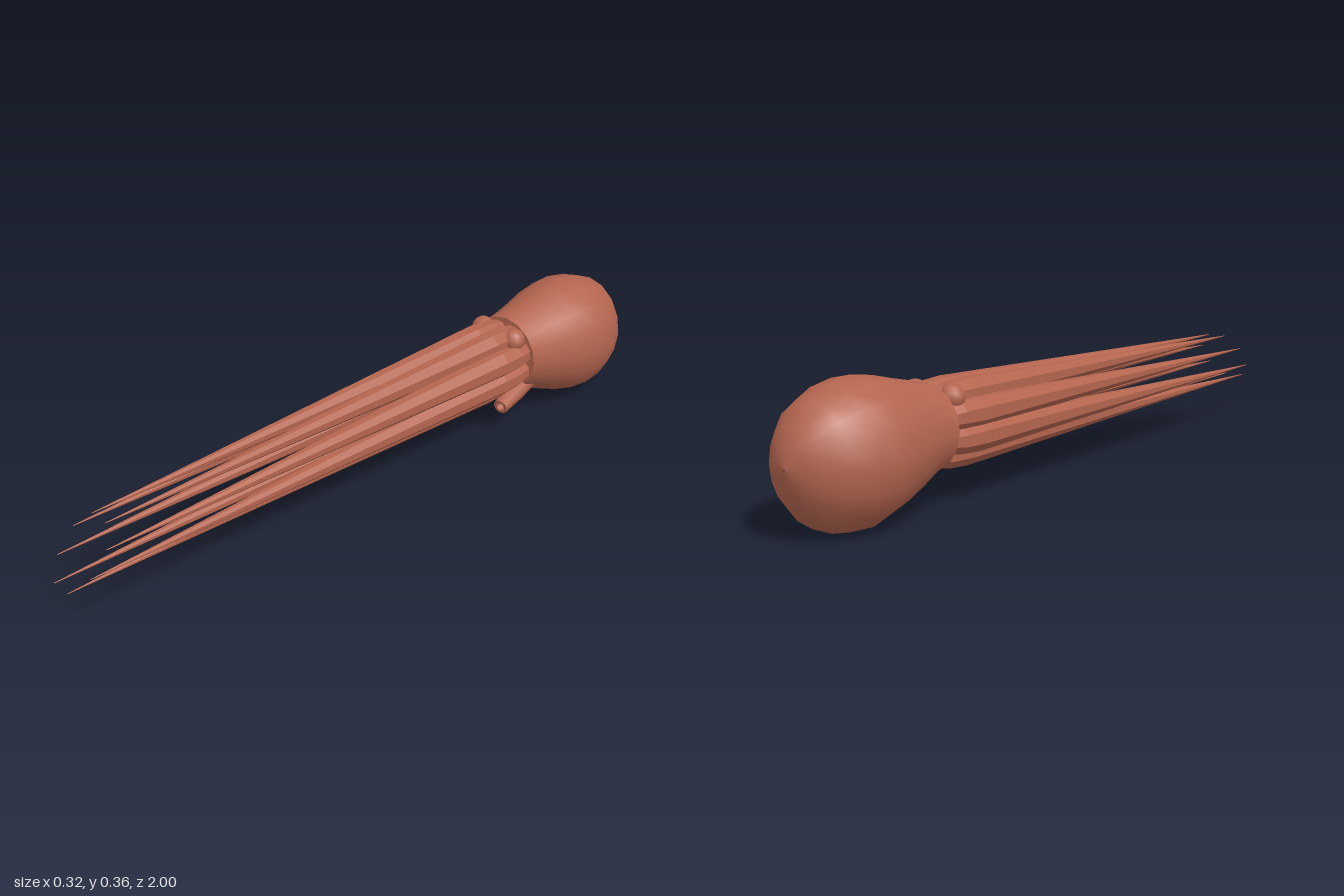
import * as THREE from 'three';

// Skin through oval cross-sections running along z: [z, centreX, centreY, radiusX, radiusY]
function loft(sections, sides, phase = 0) {
  const pos = [], idx = [];
  for (const [z, cx, cy, rx, ry] of sections) {
    for (let j = 0; j < sides; j++) {
      const a = phase + (j / sides) * Math.PI * 2;
      pos.push(cx + Math.cos(a) * rx, cy + Math.sin(a) * ry, z);
    }
  }
  for (let i = 0; i < sections.length - 1; i++) {
    for (let j = 0; j < sides; j++) {
      const k = (j + 1) % sides;
      const a = i * sides + j, b = i * sides + k;
      const c = b + sides, d = a + sides;
      idx.push(a, b, c, a, c, d);
    }
  }
  const g = new THREE.BufferGeometry();
  g.setAttribute('position', new THREE.Float32BufferAttribute(pos, 3));
  g.setIndex(idx);
  g.computeVertexNormals();
  return g;
}

function faceted(geometry) {
  const g = geometry.toNonIndexed();
  g.computeVertexNormals();
  return g;
}

export function createModel() {
  const group = new THREE.Group();
  const skin = new THREE.MeshStandardMaterial({ color: 0xb4654f });
  skin.name = 'terracotta skin';
  const add = (name, geometry) => {
    const mesh = new THREE.Mesh(geometry, skin);
    mesh.name = name;
    group.add(mesh);
    return mesh;
  };

  // Mantle: bulbous sac, [z, half width, bottom, top]; doubled ring keeps the rim sharp
  const mantle = [
    [-1.0, 0.002, 0.178, 0.182], [-0.99, 0.045, 0.125, 0.235],
    [-0.965, 0.085, 0.075, 0.28], [-0.92, 0.125, 0.03, 0.325],
    [-0.86, 0.15, 0.006, 0.35], [-0.79, 0.162, 0.003, 0.362],
    [-0.72, 0.152, 0.022, 0.352], [-0.65, 0.133, 0.048, 0.335],
    [-0.59, 0.118, 0.075, 0.322], [-0.54, 0.112, 0.092, 0.312],
    [-0.54, 0.112, 0.092, 0.312], [-0.535, 0.07, 0.13, 0.27],
  ];
  add('mantle', loft(mantle.map(([z, w, lo, hi]) => [z, 0, (lo + hi) / 2, w, (hi - lo) / 2]), 16));

  // Head core between the arm roots, ending in a shallow dome
  add('head', loft([
    [-0.58, 0, 0.2, 0.09, 0.09], [-0.5, 0, 0.2, 0.085, 0.085],
    [-0.46, 0, 0.2, 0.06, 0.06], [-0.44, 0, 0.2, 0.035, 0.035],
    [-0.435, 0, 0.2, 0.001, 0.001],
  ], 16));

  // Eight long tapering arms in a ring; the lower ones reach further forward
  const tipZ = { 1: 0.88, 0: 0.91, '-1': 0.96, '-2': 1.0 };
  for (let i = 0; i < 8; i++) {
    const a = (i + 0.5) * Math.PI / 4;
    const x = Math.cos(a) * 0.076, y = 0.2 + Math.sin(a) * 0.076;
    const level = Math.abs(Math.sin(a)) > 0.5 ? (Math.sin(a) > 0 ? 1 : -2) : (Math.sin(a) > 0 ? 0 : -1);
    const arm = loft([
      [-0.56, x * 0.9, 0.2 + (y - 0.2) * 0.9, 0.03, 0.03],
      [-0.5, x, y, 0.037, 0.037],
      [-0.43, x, y, 0.041, 0.041],
      [tipZ[level], x * 0.98, y, 0.001, 0.001],
    ], 8, Math.PI / 8);
    add('arm' + (i + 1), faceted(arm));
  }

  // Eyes: low bumps on top of the head
  for (const s of [1, -1]) {
    const eye = add(s > 0 ? 'leftEye' : 'rightEye', new THREE.SphereGeometry(0.034, 12, 8));
    eye.position.set(s * 0.058, 0.275, -0.505);
  }

  // Siphon: hollow tube pointing forward and down on the left side
  const profile = [
    [0.03, 0], [0.029, 0.07], [0.022, 0.15], [0.022, 0.15],
    [0.013, 0.15], [0.013, 0.15], [0.011, 0.12], [0.0, 0.12],
  ].map(([r, h]) => new THREE.Vector2(r, h));
  const siphon = add('siphon', new THREE.LatheGeometry(profile, 10));
  const from = new THREE.Vector3(0.05, 0.118, -0.585);
  const to = new THREE.Vector3(0.077, 0.086, -0.44);
  siphon.position.copy(from);
  siphon.quaternion.setFromUnitVectors(new THREE.Vector3(0, 1, 0), to.sub(from).normalize());

  return group;
}
